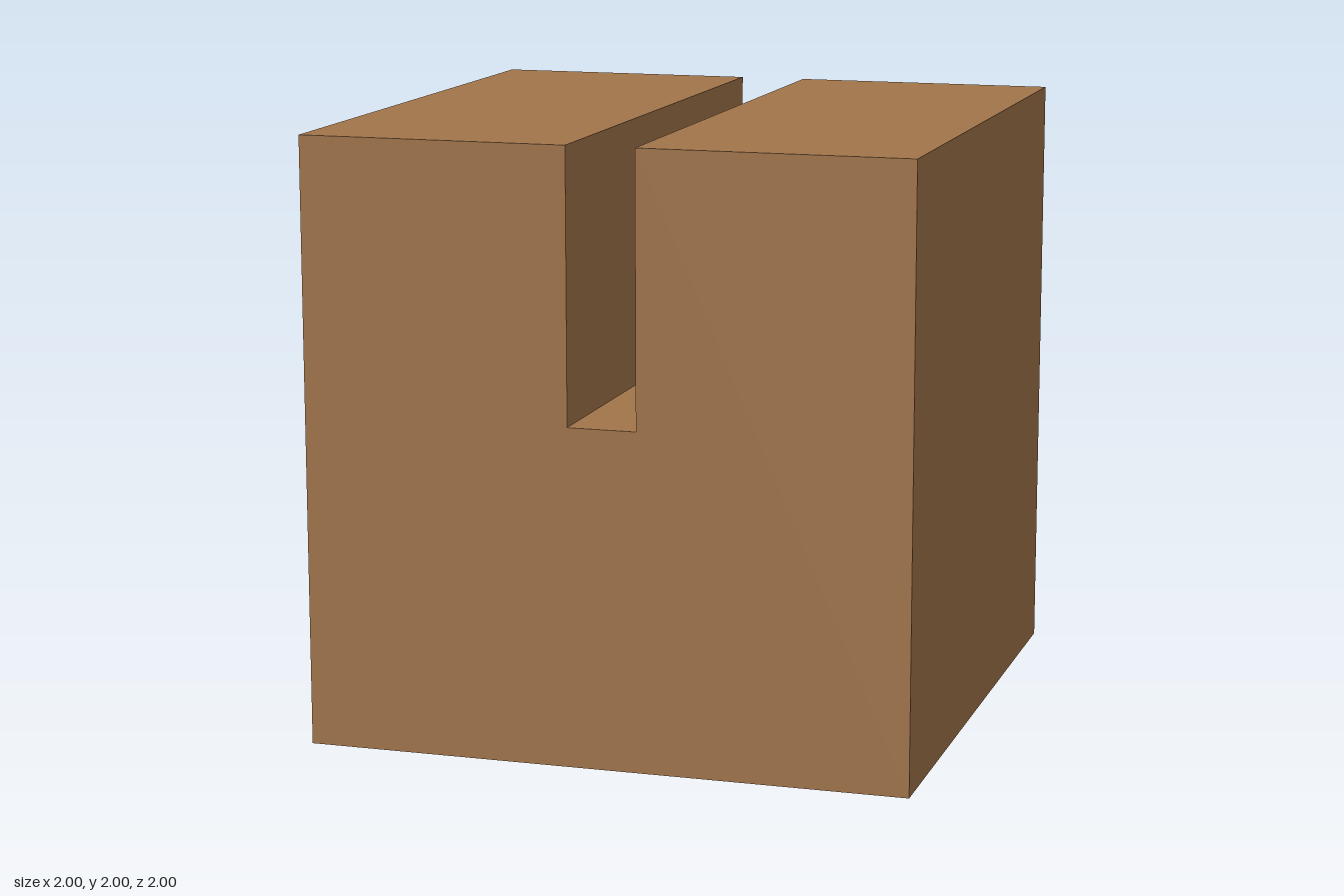
import * as THREE from 'three';

export function createModel() {
  const group = new THREE.Group();
  group.name = 'slottedBlock';

  const half = 1, height = 2, depth = 2;
  const slotHalf = 0.113, slotFloor = 1.11;

  // U-shaped front outline, slot open at the top
  const outline = new THREE.Shape([
    [-half, 0], [half, 0], [half, height], [slotHalf, height],
    [slotHalf, slotFloor], [-slotHalf, slotFloor], [-slotHalf, height], [-half, height],
  ].map(([x, y]) => new THREE.Vector2(x, y)));

  // Wooden block with the slot running front to back
  const geometry = new THREE.ExtrudeGeometry(outline, { depth, bevelEnabled: false });
  geometry.translate(0, 0, -depth / 2);
  const block = new THREE.Mesh(geometry, new THREE.MeshStandardMaterial({ color: 0xa2754b }));
  block.name = 'block';
  group.add(block);

  return group;
}
